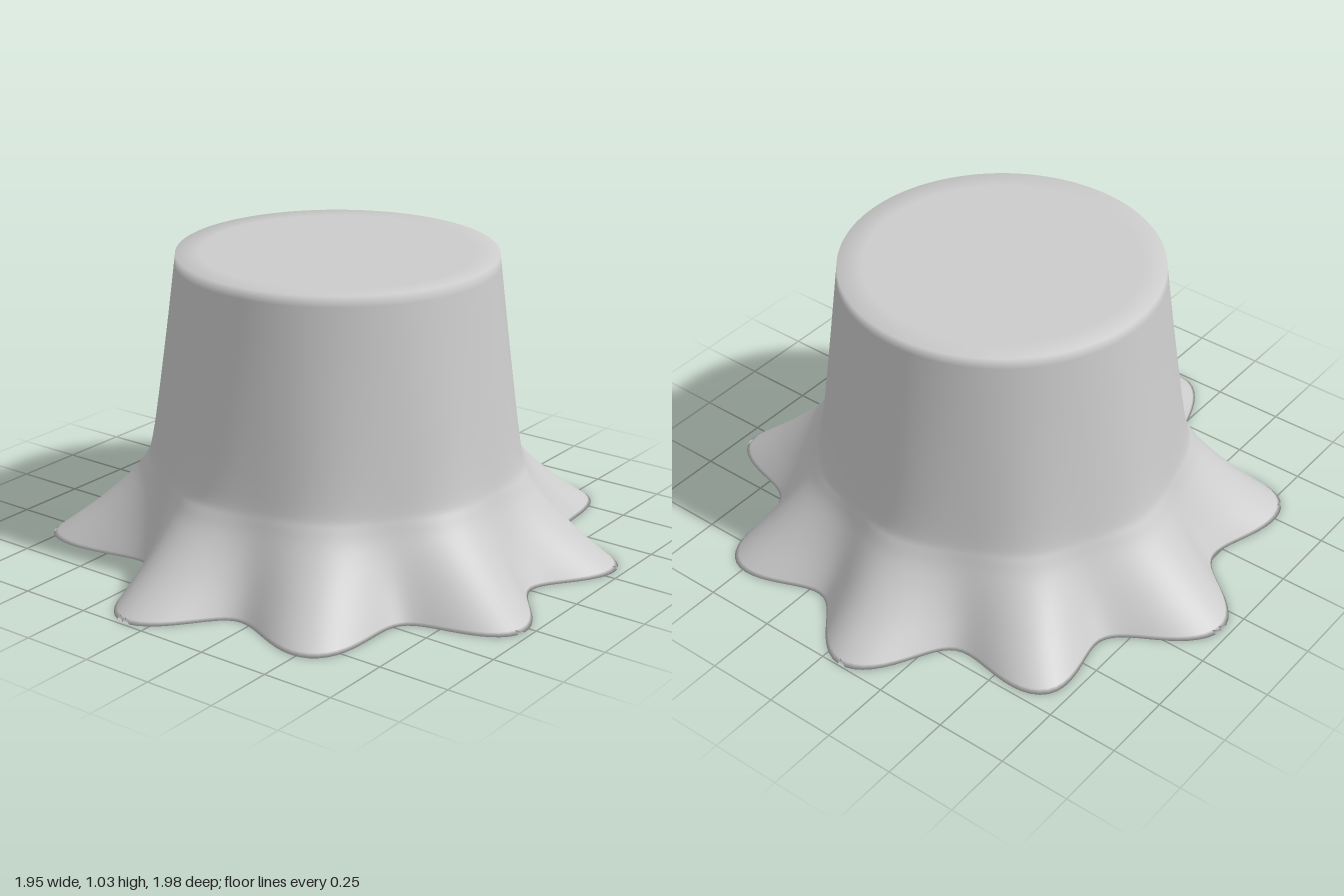
import * as THREE from 'three';

// Root tips and the hollows between them, as [angle in degrees, radius], alternating round the base
const OUTLINE = [
  [0, 0.80], [19, 0.995], [38, 0.80], [58, 0.985], [77.5, 0.80], [96, 0.995],
  [116.5, 0.79], [136, 0.985], [153, 0.80], [175, 1.0], [194, 0.80], [216, 1.0],
  [240, 0.705], [263.5, 1.0], [282.5, 0.79], [302, 0.985], [322, 0.78], [342, 0.995], [360, 0.80],
];
const HEIGHT = 1.03, TOP_RADIUS = 0.545, BASE_RADIUS = 0.66, SEGMENTS = 216;

// Ground radius at an angle: a cosine wave from each tip to the next hollow
function groundRadius(deg) {
  const i = OUTLINE.findIndex((p, k) => k > 0 && deg <= p[0]);
  const [a0, r0] = OUTLINE[i - 1], [a1, r1] = OUTLINE[i];
  const t = (1 - Math.cos(Math.PI * (deg - a0) / (a1 - a0))) / 2;
  return r0 + (r1 - r0) * t;
}

// How far the roots spread at each height (x = spread, y = height)
const flare = new THREE.SplineCurve([
  [0, HEIGHT], [0.02, 0.7], [0.06, 0.37], [0.135, 0.28], [0.31, 0.2], [0.62, 0.1], [1, 0],
].map(([w, y]) => new THREE.Vector2(w, y)));

function stumpGeometry() {
  // Rings from the middle of the cut top, down the bark, to the middle of the underside
  const rings = [{ y: HEIGHT, w: 0, s: 0 }, { y: HEIGHT, w: 0, s: 0.85 }];
  for (let i = 0; i <= 36; i++) {
    const p = flare.getPoint(i / 36);
    rings.push({ y: p.y, w: p.x, s: 1 });
  }
  rings.push({ y: 0, w: 1, s: 0.96 }, { y: 0, w: 1, s: 0 });

  const positions = [], index = [];
  rings.forEach(({ y, w, s }, row) => {
    const trunk = BASE_RADIUS + (TOP_RADIUS - BASE_RADIUS) * y / HEIGHT;
    for (let j = 0; j < SEGMENTS; j++) {
      const deg = 360 * j / SEGMENTS, a = THREE.MathUtils.degToRad(deg);
      const r = s * (trunk + (groundRadius(deg) - BASE_RADIUS) * w);
      positions.push(r * Math.cos(a), y, -r * Math.sin(a));
      if (row === 0) continue;
      const k = (j + 1) % SEGMENTS, up = (row - 1) * SEGMENTS, low = row * SEGMENTS;
      if (row < rings.length - 1) index.push(up + j, low + j, low + k);
      else index.push(up + j, low + j, up + k);
      if (row > 1 && row < rings.length - 1) index.push(up + j, low + k, up + k);
    }
  });

  const geometry = new THREE.BufferGeometry();
  geometry.setAttribute('position', new THREE.Float32BufferAttribute(positions, 3));
  geometry.setIndex(index);
  geometry.computeVertexNormals();
  return geometry;
}

export function createModel() {
  const group = new THREE.Group();
  group.name = 'treeStump';
  const stump = new THREE.Mesh(stumpGeometry(), new THREE.MeshStandardMaterial({ color: 0xcccccc }));
  stump.name = 'trunkWithRoots';
  stump.position.set(0.025, 0, -0.005);
  group.add(stump);
  return group;
}
